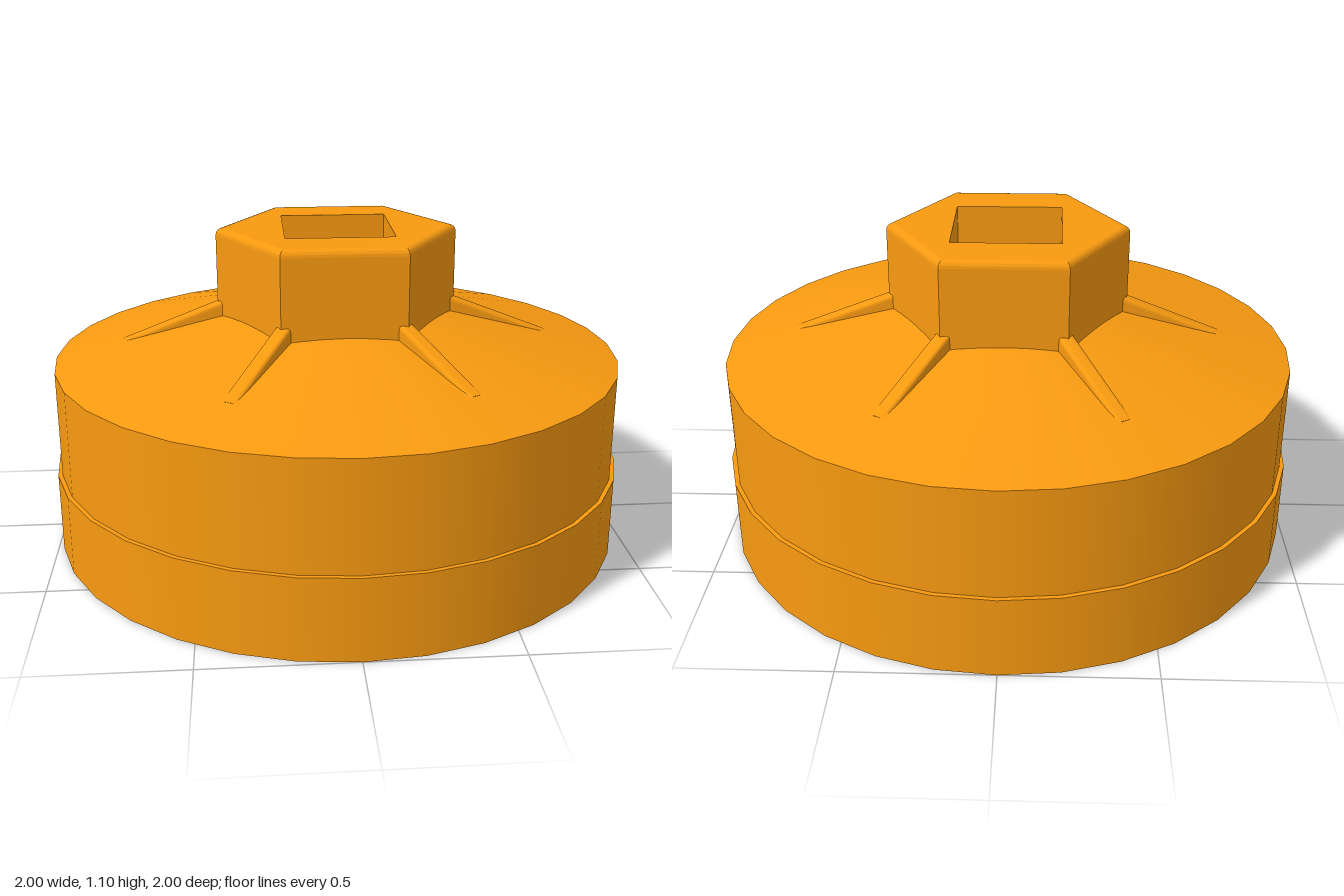
import * as THREE from 'three';
import { mergeGeometries } from 'three/addons/utils/BufferGeometryUtils.js';

const material = new THREE.MeshStandardMaterial({ color: 0xf89a10 });

// Revolved [radius, y] profile; each span is separate, so profile edges stay sharp.
function turned(profile, sides, start = 0, flat = false) {
  const spans = profile.slice(1).map((p, i) => {
    const pts = [profile[i], p].map(([r, y]) => new THREE.Vector2(r, y));
    const g = new THREE.LatheGeometry(pts, sides, start);
    if (!flat) return g;
    const f = g.toNonIndexed();
    f.computeVertexNormals();
    return f;
  });
  return mergeGeometries(spans);
}

// Corner points of a regular polygon
function polygon(radius, sides, start = 0) {
  return Array.from({ length: sides }, (_, i) => {
    const a = start + (i / sides) * Math.PI * 2;
    return new THREE.Vector2(radius * Math.sin(a), radius * Math.cos(a));
  });
}

// Flat horizontal face with a hole, facing up or down
function plate(outer, inner, y, up) {
  const shape = new THREE.Shape(outer);
  shape.holes.push(new THREE.Path(inner));
  return new THREE.ShapeGeometry(shape).rotateX(up ? -Math.PI / 2 : Math.PI / 2).translate(0, y, 0);
}

export function createModel() {
  const group = new THREE.Group();
  const add = (name, geometry, parent = group) => {
    const mesh = new THREE.Mesh(geometry, material);
    mesh.name = name;
    parent.add(mesh);
    return mesh;
  };

  const SIDES = 32, FLUTES = 14, LEDGE = 0.03, CEILING = 0.74, TOP = 1.1;
  const MOUTH = 0.93, FLUTE_R = 0.92, HEX_R = 0.416;
  const HOLE_R = 0.185 * Math.SQRT2;
  const square = polygon(HOLE_R, 4, Math.PI / 4);

  // Outer cup: mouth, rim, lower band, wall and conical shoulder
  add('cupShell', turned([
    [MOUTH, LEDGE], [MOUTH, 0], [1, 0], [1, 0.28], [0.985, 0.28], [0.985, 0.65], [0.34, 0.81],
  ], SIDES));

  // Fluted socket inside, with a sloping ceiling
  add('innerLedge', plate(polygon(MOUTH, SIDES), polygon(FLUTE_R, FLUTES), LEDGE, false));
  add('flutedSocket', turned([[0.3, CEILING], [FLUTE_R, 0.6], [FLUTE_R, LEDGE]], FLUTES, 0, true));
  add('innerCeiling', plate(polygon(0.3, FLUTES), square, CEILING, false));

  // Hexagonal drive head with a rounded top edge
  const fillet = 0.025, hexProfile = [[HEX_R, 0.76]];
  for (let i = 0; i <= 4; i++) {
    const a = (i / 4) * Math.PI / 2;
    hexProfile.push([HEX_R - fillet * (1 - Math.cos(a)), TOP - fillet * (1 - Math.sin(a))]);
  }
  add('hexHead', turned(hexProfile, 6, Math.PI / 2, true));
  add('hexTop', plate(polygon(HEX_R - fillet, 6, Math.PI / 2), square, TOP, true));
  add('squareDriveHole', turned([[HOLE_R, TOP], [HOLE_R, CEILING]], 4, Math.PI / 4, true));

  // Sloping ribs running from the hex corners down the shoulder
  const w = 0.0275, c = 0.016, h = 0.066;
  const section = new THREE.Shape();
  section.moveTo(-w, -h);
  section.lineTo(w, -h);
  section.lineTo(w, -c);
  section.quadraticCurveTo(w, 0, w - c, 0);
  section.lineTo(c - w, 0);
  section.quadraticCurveTo(-w, 0, -w, -c);
  const rib = new THREE.ExtrudeGeometry(section, { depth: 0.4, bevelEnabled: false, curveSegments: 4 });
  rib.translate(0, 0, 0.36);
  const pos = rib.attributes.position;
  for (let i = 0; i < pos.count; i++) {
    pos.setY(i, pos.getY(i) + 0.84 - 0.39 * (pos.getZ(i) - HEX_R));
  }
  rib.computeVertexNormals();

  const ribs = new THREE.Group();
  ribs.name = 'ribs';
  group.add(ribs);
  for (let i = 0; i < 6; i++) {
    add('rib', rib, ribs).rotation.y = Math.PI / 2 + (i * Math.PI) / 3;
  }
  return group;
}
